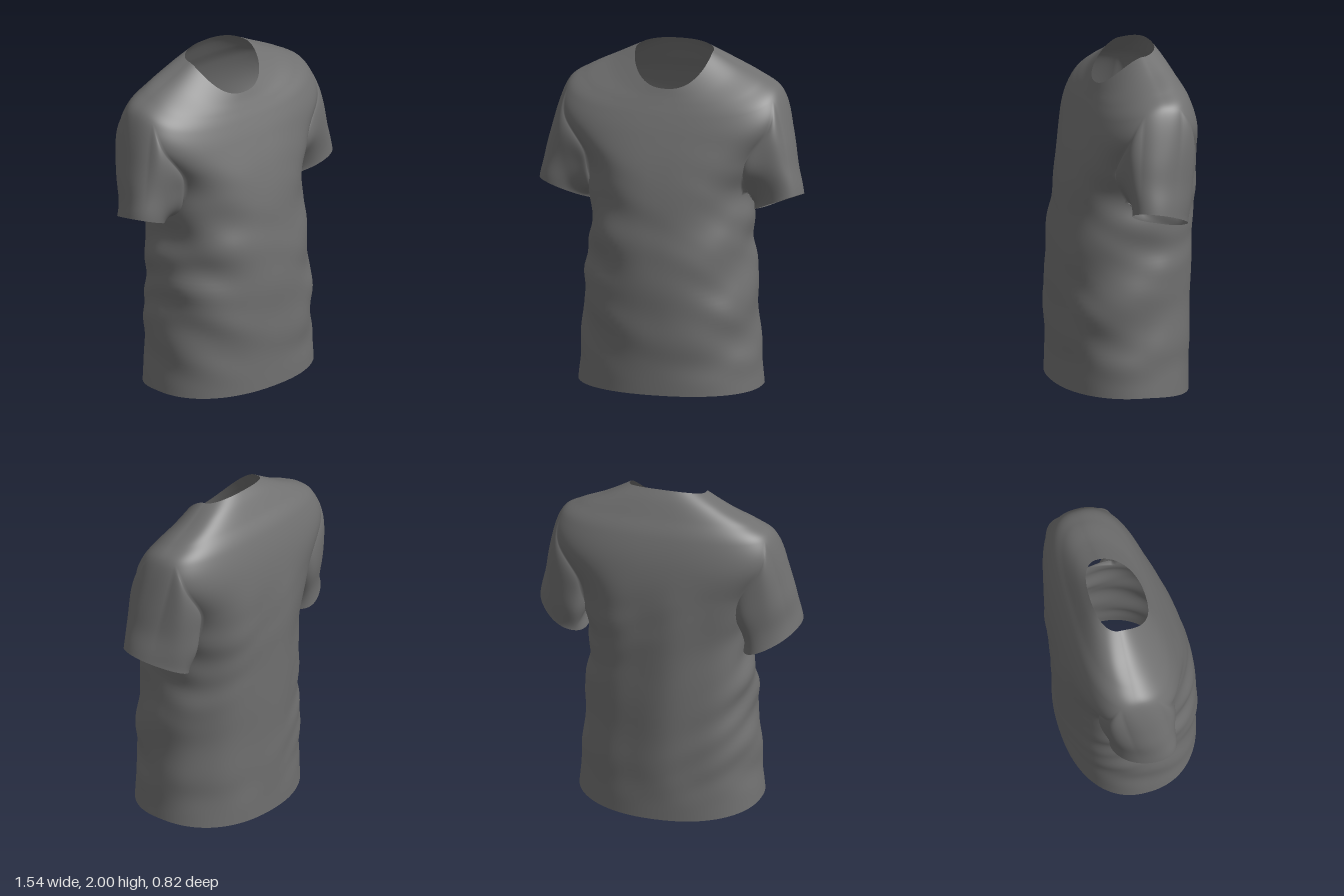
import * as THREE from 'three';

// Torso rings from hem to neckline:
// [half width, front y, front z, side y, side z, back y, back z, roundness]
const RINGS = [
  [0.533, 0.05, 0.40, 0.045, 0.0, 0.0, -0.375, 0.9],
  [0.512, 0.27, 0.40, 0.27, 0.0, 0.26, -0.38, 0.9],
  [0.498, 0.56, 0.407, 0.56, 0.0, 0.56, -0.388, 0.9],
  [0.472, 0.85, 0.393, 0.85, -0.02, 0.85, -0.397, 0.88],
  [0.462, 1.04, 0.37, 1.04, -0.04, 1.04, -0.402, 0.85],
  [0.468, 1.19, 0.345, 1.19, -0.06, 1.19, -0.404, 0.8], // armpit
  [0.52, 1.37, 0.303, 1.39, -0.08, 1.40, -0.40, 0.74],
  [0.655, 1.53, 0.247, 1.61, -0.085, 1.6, -0.375, 0.72],
  [0.62, 1.635, 0.205, 1.755, -0.085, 1.755, -0.33, 0.72], // shoulder point
  [0.515, 1.7, 0.176, 1.825, -0.085, 1.86, -0.275, 0.76],
  [0.365, 1.745, 0.156, 1.893, -0.085, 1.945, -0.228, 0.8],
  [0.225, 1.785, 0.14, 1.968, -0.075, 2.0, -0.19, 0.84], // neckline
];
const STEPS = 10, SEGMENTS = 128;
const ROWS = (RINGS.length - 1) * STEPS;
const HOLE = { half: 11, bottom: 5 * STEPS, top: 8 * STEPS };
const SLEEVE_ROWS = 28;

const { smoothstep, lerp } = THREE.MathUtils;
const signedPow = (v, e) => Math.sign(v) * Math.abs(v) ** e;

// Smooth interpolation through the torso rings
function ringAt(row) {
  const k = Math.min(Math.floor(row / STEPS), RINGS.length - 2);
  const t = row / STEPS - k;
  const p = RINGS[Math.max(k - 1, 0)], a = RINGS[k], b = RINGS[k + 1];
  const n = RINGS[Math.min(k + 2, RINGS.length - 1)];
  return a.map((v, i) => {
    const m0 = (b[i] - p[i]) / 2, m1 = (n[i] - v) / 2;
    return v + t * (m0 + t * (3 * (b[i] - v) - 2 * m0 - m1 + t * (2 * (v - b[i]) + m0 + m1)));
  });
}

function torsoPoint(row, seg) {
  const [w, yF, zF, yS, zS, yB, zB, e] = ringAt(row);
  // Draw segments towards the sides above and below mid-armhole, to round the armhole
  const u = (2 * row - HOLE.top - HOLE.bottom) / (HOLE.top - HOLE.bottom);
  const even = (seg / SEGMENTS) * Math.PI * 2;
  const angle = even - 0.3 * Math.min(1, u * u) * Math.sin(2 * even);
  const c = signedPow(Math.cos(angle), e), s = signedPow(Math.sin(angle), e);
  const [y, z] = s > 0 ? [yF, zF] : [yB, zB];
  return new THREE.Vector3(w * c, lerp(yS, y, Math.abs(s) ** 1.5), lerp(zS, z, Math.abs(s)));
}

const gridIndex = (row, seg) => row * SEGMENTS + ((seg + SEGMENTS) % SEGMENTS);

// Cloth folds: irregular slanting creases at the sides, long soft folds down the back
function foldDepth({ x, y, z }) {
  const fade = smoothstep(y, 0.08, 0.3) * (1 - smoothstep(y, 1.2, 1.6));
  const side = 0.3 + 0.7 * smoothstep(Math.abs(x), 0.08, 0.42);
  const sleeve = 1 - 0.6 * smoothstep(Math.abs(x), 0.5, 0.6);
  const patch = 0.5 + 0.5 * Math.sin(4.3 * y + 5 * x - 3 * z);
  const broad = Math.sin(15 * y - 6 * Math.abs(x) + 7 * z + 2 * x);
  const crease = Math.sin(27 * y + 9 * x - 8 * z + 1.5 * Math.sin(6 * x + 5 * y));
  const back = smoothstep(-z, 0.1, 0.35);
  const slanting = side * sleeve * (0.008 * broad + 0.008 * patch * crease) * (1 - 0.6 * back);
  return fade * (slanting + 0.007 * back * Math.cos(17 * x + 1.5 * y));
}

// Armhole edge, starting under the arm and rising at the front
function armholeLoop() {
  const { half, bottom, top } = HOLE, loop = [];
  for (let i = 0; i < half; i++) loop.push([bottom, i]);
  for (let j = bottom; j < top; j++) loop.push([j, half]);
  for (let i = half; i > -half; i--) loop.push([top, i]);
  for (let j = top; j > bottom; j--) loop.push([j, -half]);
  for (let i = -half; i < 0; i++) loop.push([bottom, i]);
  return loop;
}

// Sleeve point: a Hermite sweep from an armhole point to the tilted oval cuff
function sleevePoint(start, phi, t) {
  const up = (1 - Math.cos(phi)) / 2, out = -Math.cos(phi), front = Math.sin(phi);
  const end = new THREE.Vector3(
    0.618 + 0.152 * out, 1.115 + 0.07 * out + 0.03 * front, -0.06 + 0.06 * out + 0.165 * front);
  const t0 = new THREE.Vector3(lerp(0.06, 0.17, up), lerp(-0.08, -0.24, up), front * 0.1);
  const t1 = new THREE.Vector3(0.08 * up, lerp(-0.12, -0.4, up), 0);
  const t2 = t * t, t3 = t2 * t;
  return start.clone().multiplyScalar(2 * t3 - 3 * t2 + 1)
    .addScaledVector(t0, t3 - 2 * t2 + t)
    .addScaledVector(end, 3 * t2 - 2 * t3)
    .addScaledVector(t1, t3 - t2);
}

export function createModel() {
  const points = [], faces = { torso: [], leftSleeve: [], rightSleeve: [] };
  const quad = (list, a, b, c, d, flip) =>
    list.push(...(flip ? [a, c, b, b, c, d] : [a, b, c, b, d, c]));

  // Torso, leaving out the two armholes
  const inHole = (row, seg) => {
    const s = (seg + HOLE.half) % (SEGMENTS / 2);
    return row >= HOLE.bottom && row < HOLE.top && s < 2 * HOLE.half;
  };
  for (let j = 0; j <= ROWS; j++)
    for (let i = 0; i < SEGMENTS; i++) points.push(torsoPoint(j, i));
  for (let j = 0; j < ROWS; j++)
    for (let i = 0; i < SEGMENTS; i++)
      if (!inHole(j, i))
        quad(faces.torso, gridIndex(j, i), gridIndex(j + 1, i), gridIndex(j, i + 1), gridIndex(j + 1, i + 1));

  // Sleeves, sharing their first ring with the armhole edge
  const loop = armholeLoop(), M = loop.length;
  for (const side of [1, -1]) {
    const list = side > 0 ? faces.leftSleeve : faces.rightSleeve;
    let ring = loop.map(([j, i]) => gridIndex(j, side > 0 ? i : SEGMENTS / 2 - i));
    for (let r = 1; r <= SLEEVE_ROWS; r++) {
      const next = loop.map(([j, i], k) => {
        const p = sleevePoint(torsoPoint(j, i), (k / M) * Math.PI * 2, r / SLEEVE_ROWS);
        p.x *= side;
        return points.push(p) - 1;
      });
      for (let k = 0; k < M; k++) {
        const n = (k + 1) % M;
        quad(list, ring[k], next[k], ring[n], next[n], side < 0);
      }
      ring = next;
    }
  }

  // Push the cloth along its normals to form folds, then smooth over all seams
  const cloth = new THREE.BufferGeometry().setFromPoints(points);
  cloth.setIndex(Object.values(faces).flat());
  cloth.computeVertexNormals();
  const normal = new THREE.Vector3();
  points.forEach((p, i) => {
    normal.fromBufferAttribute(cloth.attributes.normal, i);
    p.addScaledVector(normal, foldDepth(p));
    cloth.attributes.position.setXYZ(i, p.x, p.y, p.z);
  });
  cloth.computeVertexNormals();

  // One mesh per part, sharing vertices and normals
  const material = new THREE.MeshStandardMaterial({ color: 0x707070, side: THREE.DoubleSide });
  const shirt = new THREE.Group();
  shirt.name = 'shirt';
  for (const [name, index] of Object.entries(faces)) {
    const part = new THREE.BufferGeometry();
    part.setAttribute('position', cloth.attributes.position);
    part.setAttribute('normal', cloth.attributes.normal);
    part.setIndex(index);
    const mesh = new THREE.Mesh(part, material);
    mesh.name = name;
    shirt.add(mesh);
  }
  return shirt;
}
